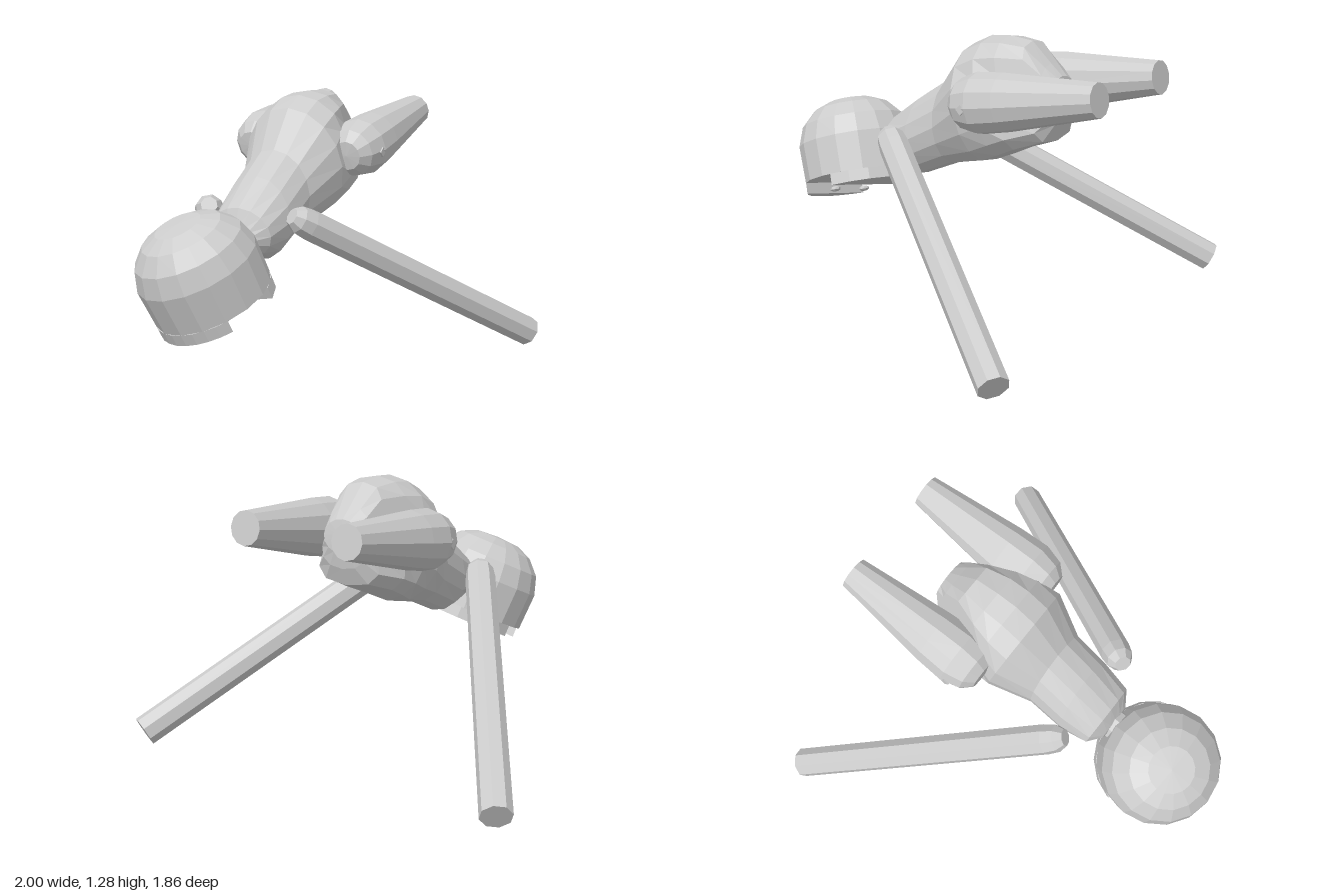
import * as THREE from 'three';

const V = (x, y, z) => new THREE.Vector3(x, y, z);
const grey = new THREE.MeshStandardMaterial({ color: 0xcccccc, flatShading: true });

function mesh(name, geometry) {
  const m = new THREE.Mesh(geometry, grey);
  m.name = name;
  return m;
}

function lathe(profile, sides) {
  return new THREE.LatheGeometry(profile.map(([r, y]) => new THREE.Vector2(r, y)), sides);
}

// Turned shape whose profile runs from point a towards point b
function limb(name, a, b, profile, sides) {
  const m = mesh(name, lathe(profile, sides));
  m.position.copy(a);
  m.quaternion.setFromUnitVectors(V(0, 1, 0), b.clone().sub(a).normalize());
  return m;
}

// Torso skin: each section gives its top and bottom point (z, y), half width and
// the squareness of its underside (1 is round, less is flatter).
// Points beyond the hip planes are pressed flat to leave a seat for each leg.
function torsoGeometry(sections, sides) {
  const pos = [], idx = [];
  const hipNormal = V(0.9, 0.25, -0.35).normalize(), hipOffset = 0.553;
  sections.forEach(([tz, ty, bz, by, w, power]) => {
    for (let k = 0; k < sides; k++) {
      const t = (k / sides) * Math.PI * 2, s = Math.sin(t), c = Math.cos(t);
      const x = w * Math.abs(c) ** (s < 0 ? power : 1);
      const p = V(x, (ty + by) / 2 + s * (ty - by) / 2, (tz + bz) / 2 + s * (tz - bz) / 2);
      const over = Math.max(0, p.dot(hipNormal) - hipOffset);
      p.x = Math.max(0, p.x - over / hipNormal.x);
      pos.push(p.x * Math.sign(c), p.y, p.z);
    }
  });
  for (let i = 0; i < sections.length - 1; i++) {
    for (let k = 0; k < sides; k++) {
      const a = i * sides + k, b = i * sides + (k + 1) % sides;
      idx.push(a, a + sides, b, b, a + sides, b + sides);
    }
  }
  const g = new THREE.BufferGeometry();
  g.setAttribute('position', new THREE.Float32BufferAttribute(pos, 3));
  g.setIndex(idx);
  g.computeVertexNormals();
  return g;
}

// Slab cut from a disc between two angles, hanging below y = 0
function discSegment(radius, from, to, depth) {
  const pts = [];
  for (let i = 0; i <= 8; i++) {
    const t = from + (to - from) * i / 8;
    pts.push(new THREE.Vector2(radius * Math.cos(t), radius * Math.sin(t)));
  }
  const g = new THREE.ExtrudeGeometry(new THREE.Shape(pts), { depth, bevelEnabled: false });
  return g.rotateX(Math.PI / 2);
}

function buildHead() {
  const head = new THREE.Group();
  head.name = 'head';
  const recess = 0.055, r = 0.279;

  // Domed skull, closed by the recessed face plane
  head.add(mesh('skull', lathe([
    [0, recess], [r, recess], [0.286, 0.24], [0.256, 0.335], [0.19, 0.405], [0.11, 0.44], [0, 0.447],
  ], 16)));

  // Front lip and rear block on either side of the face slot
  const lip = Math.asin(0.19 / r), rear = Math.asin(0.05 / r);
  const front = mesh('frontLip', discSegment(r, lip, Math.PI - lip, recess));
  const back = mesh('rearBlock', discSegment(r, Math.PI + rear, 2 * Math.PI - rear, recess));
  for (const part of [front, back]) {
    part.position.y = recess;
    head.add(part);
  }

  // Small flat eyes in the slot
  for (const side of [-1, 1]) {
    const eye = mesh(side > 0 ? 'leftEye' : 'rightEye', new THREE.SphereGeometry(0.027, 8, 5));
    eye.scale.y = 0.5;
    eye.position.set(side * 0.105, 0.005, 0.09);
    head.add(eye);
  }

  // Head tilts forward and leans to one side
  const up = V(-0.23, 0.9, 0.36).normalize();
  const right = V(0.96, 0.22, 0.06);
  right.addScaledVector(up, -right.dot(up)).normalize();
  const fwd = right.clone().cross(up);
  head.quaternion.setFromRotationMatrix(new THREE.Matrix4().makeBasis(right, up, fwd));
  head.position.set(0.037, 0.41, 0.573);
  return head;
}

export function createModel() {
  const model = new THREE.Group();
  model.add(buildHead());

  // Neck joint
  model.add(limb('neck', V(0, 0.69, 0.3), V(0, 0.61, 0.5),
    [[0, 0], [0.05, 0], [0.072, 0.05], [0.072, 0.1], [0.05, 0.16], [0, 0.16]], 8));

  // Leaning torso, narrow at the chest and full at the hips
  model.add(mesh('torso', torsoGeometry([
    [0.38, 0.67, 0.38, 0.67, 0, 1],
    [0.375, 0.73, 0.365, 0.63, 0.09, 1],
    [0.345, 0.82, 0.30, 0.58, 0.16, 1],
    [0.19, 0.94, 0.19, 0.545, 0.182, 1],
    [0.04, 1.04, 0.0, 0.63, 0.185, 1],
    [-0.09, 1.22, -0.22, 0.685, 0.26, 0.8],
    [-0.19, 1.27, -0.33, 0.735, 0.258, 0.55],
    [-0.29, 1.28, -0.42, 0.78, 0.25, 0.5],
    [-0.41, 1.27, -0.55, 0.83, 0.2, 0.6],
    [-0.51, 1.18, -0.58, 0.91, 0.14, 0.8],
    [-0.57, 1.13, -0.59, 0.98, 0.095, 1],
    [-0.585, 1.06, -0.585, 1.06, 0, 1],
  ], 16)));

  for (const s of [-1, 1]) {
    const side = s > 0 ? 'left' : 'right';

    // Straight arm swept down and back
    model.add(limb(side + 'Arm', V(s * 0.225, 0.79, 0.25), V(s * 0.94, 0.063, -0.87),
      [[0, 0], [0.04, 0], [0.065, 0.04], [0.072, 0.1], [0.072, 1.513], [0, 1.513]], 8));

    // Tapered leg trailing behind
    model.add(limb(side + 'Leg', V(s * 0.265, 1.0, -0.18), V(s * 0.26, 1.125, -0.92),
      [[0, 0], [0.07, 0.005], [0.115, 0.05], [0.14, 0.14], [0.132, 0.28], [0.077, 0.75], [0, 0.75]], 12));

    // Joint pins at shoulder and hip
    for (const [name, x0, x1, y, z] of [['ShoulderPin', 0.21, 0.3, 0.755, 0.21], ['HipPin', 0.25, 0.4, 1.015, -0.3]]) {
      const pin = mesh(side + name, new THREE.CylinderGeometry(0.024, 0.024, x1 - x0, 4));
      pin.rotation.z = Math.PI / 2;
      pin.position.set(s * (x0 + x1) / 2, y, z);
      model.add(pin);
    }
  }
  return model;
}
